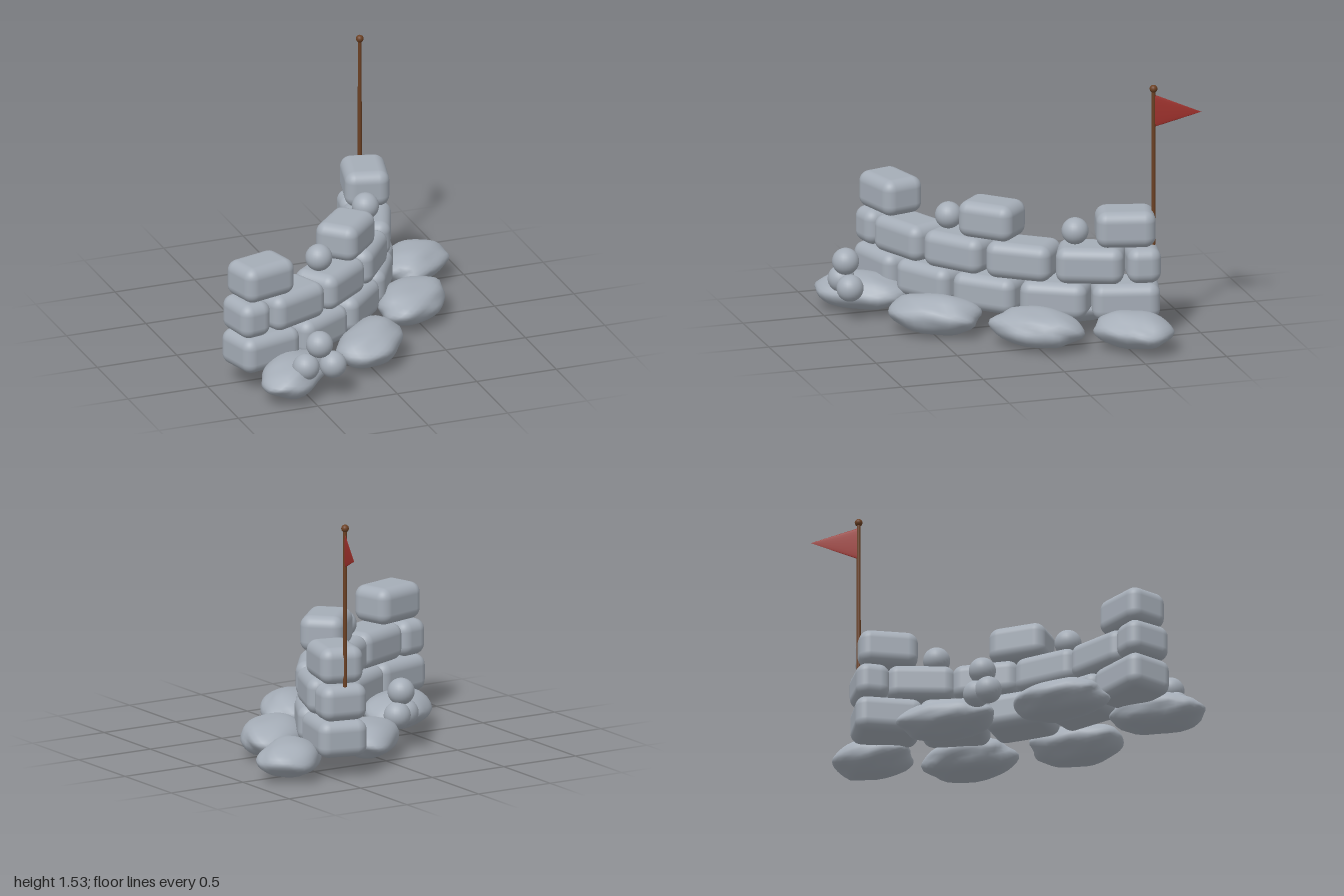
import * as THREE from 'three';
import { RoundedBoxGeometry } from 'three/addons/geometries/RoundedBoxGeometry.js';
import { mergeVertices } from 'three/addons/utils/BufferGeometryUtils.js';

const stone = new THREE.MeshStandardMaterial({ color: 0xa5adb7 });
stone.name = 'stone';
const wood = new THREE.MeshStandardMaterial({ color: 0x6b4023 });
wood.name = 'wood';
const cloth = new THREE.MeshStandardMaterial({ color: 0x9c302b });
cloth.name = 'cloth';

function add(parent, name, geometry, material, x, y, z) {
  const mesh = new THREE.Mesh(geometry, material);
  mesh.name = name;
  mesh.position.set(x, y, z);
  parent.add(mesh);
  return mesh;
}

// Lens-shaped boulder with a lumpy surface, long axis along x
function boulderGeometry(length, height, width, seed) {
  let g = new THREE.IcosahedronGeometry(1, 5);
  g.deleteAttribute('normal');
  g.deleteAttribute('uv');
  g = mergeVertices(g, 1e-4);
  const p = g.attributes.position;
  const soften = (v, e) => Math.sign(v) * Math.abs(v) ** e;
  for (let i = 0; i < p.count; i++) {
    const x = p.getX(i), y = p.getY(i), z = p.getZ(i);
    const lump = 1 + 0.035 * Math.sin(4 * x + 3 * z + seed * 2.1)
      + 0.03 * Math.sin(5 * z - 4 * y + seed * 3.7)
      + 0.02 * Math.sin(8 * x - 5 * z + 4 * y + seed);
    p.setXYZ(i, soften(x, 0.88) * lump * length / 2,
      soften(y, 1.12) * lump * height / 2,
      soften(z, 0.88) * lump * width / 2);
  }
  g.computeVertexNormals();
  return g;
}

export function createModel() {
  const model = new THREE.Group();
  model.name = 'ruinedWall';

  // Curved wall: blocks follow an arc, angles in degrees
  const cx = -1.084, cz = -0.945, radius = 1.534, middle = 44.5, step = 15.1;
  const wall = new THREE.Group();
  wall.name = 'wall';
  model.add(wall);
  function block(name, slot, y, length, height, depth) {
    const a = THREE.MathUtils.degToRad(middle + slot * step);
    const mesh = add(wall, name, new RoundedBoxGeometry(length, height, depth, 4, 0.065), stone,
      cx + radius * Math.cos(a), y, cz + radius * Math.sin(a));
    mesh.rotation.y = Math.PI / 2 - a;
  }
  for (const s of [-2, -1, 0, 1, 2]) block('bottomBlock', s, 0.233, 0.4, 0.22, 0.3);
  for (const s of [-1.5, -0.5, 0.5, 1.5]) block('middleBlock', s, 0.45, 0.4, 0.22, 0.285);
  for (const s of [-2.25, 2.25]) block('middleHalfBlock', s, 0.45, 0.2, 0.215, 0.285);
  for (const s of [-2, 0, 2]) block('topBlock', s, 0.67, 0.35, 0.22, 0.265);

  // Boulders at the foot of the wall: x, y, z, turn, length, height, width
  [
    [0.69, 0.12, -0.53, 0.72, 0.5, 0.21, 0.36],
    [0.475, 0.12, 0.0, 0.9, 0.56, 0.22, 0.36],
    [0.03, 0.12, 0.49, 0.88, 0.56, 0.23, 0.35],
    [-0.56, 0.12, 0.75, 0.87, 0.58, 0.21, 0.34],
    [-0.5, 0.12, 0.155, 0.75, 0.56, 0.21, 0.37],
    [0.02, 0.12, -0.35, 0.88, 0.58, 0.21, 0.34],
  ].forEach(([x, y, z, turn, l, h, w], i) => {
    add(model, 'boulder', boulderGeometry(l, h, w, i + 1), stone, x, y, z).rotation.y = turn;
  });

  // Round stones: two on the wall, one pile on each side
  const ball = new THREE.SphereGeometry(0.08, 24, 16);
  for (const [x, y, z] of [
    [-0.23, 0.635, 0.32], [0.3, 0.635, -0.29],
    [-0.53, 0.21, 0.885], [-0.36, 0.2, 0.885], [-0.445, 0.34, 0.885],
    [-0.31, 0.2, -0.225], [-0.23, 0.2, -0.265], [-0.27, 0.335, -0.245],
  ]) add(model, 'roundStone', ball, stone, x, y, z);

  // Flagpole with finial
  const flag = new THREE.Group();
  flag.name = 'flag';
  flag.position.set(0.435, 0, -0.73);
  flag.rotation.y = 1.187;
  model.add(flag);
  add(flag, 'pole', new THREE.CylinderGeometry(0.011, 0.013, 0.95, 12), wood, 0, 1.025, 0);
  add(flag, 'finial', new THREE.SphereGeometry(0.023, 16, 12), wood, 0, 1.505, 0);

  // Pennant: a flattened cone pointing away from the pole
  const pennant = new THREE.ConeGeometry(0.1, 0.28, 20);
  pennant.scale(1, 1, 0.06);
  pennant.rotateZ(-Math.PI / 2);
  add(flag, 'pennant', pennant, cloth, 0.142, 1.37, 0);

  return model;
}
